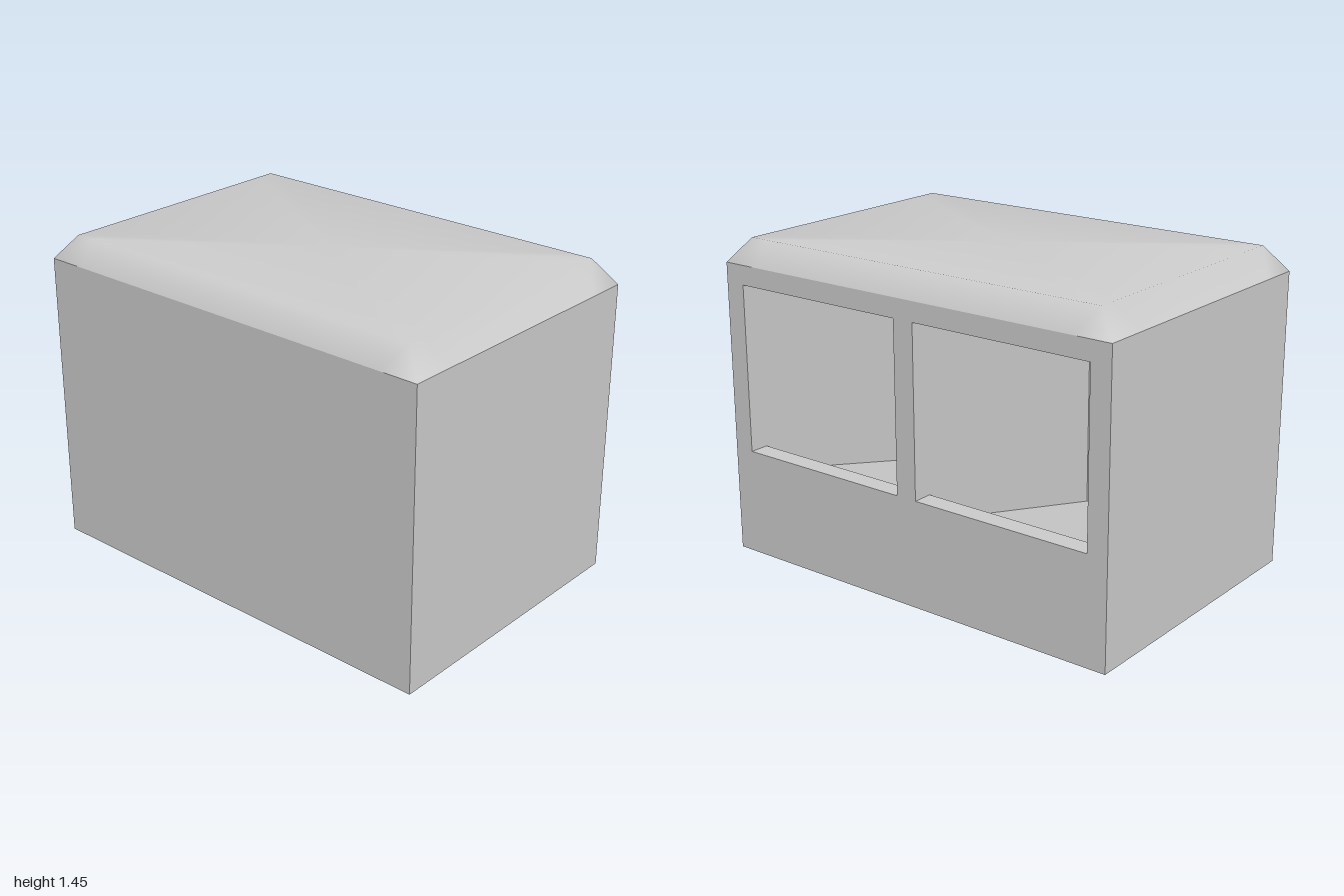
import * as THREE from 'three';

const W = 1, D = 0.667, H = 1.335;           // half width, half depth, wall height
const T = 0.095, DIVIDER = 0.05;             // wall thickness, half divider
const material = new THREE.MeshStandardMaterial({ color: 0xcccccc });

// Extrudes a side profile ([-z, y] points) across the width from x0 to x1
function slab(name, points, x0, x1) {
  const shape = new THREE.Shape(points.map(([a, b]) => new THREE.Vector2(a, b)));
  const geometry = new THREE.ExtrudeGeometry(shape, { depth: x1 - x0, bevelEnabled: false });
  geometry.rotateY(Math.PI / 2).translate(x0, 0, 0);
  const mesh = new THREE.Mesh(geometry, material);
  mesh.name = name;
  return mesh;
}

// Ring of 12 points: each corner has a neighbour on either side to keep shading local
function ring(w, d, y, near) {
  const points = [];
  for (const [sx, sz] of [[1, 1], [1, -1], [-1, -1], [-1, 1]]) {
    const alongX = [sx * (w - near), y, sz * d];
    const corner = [sx * w, y, sz * d];
    const alongZ = [sx * w, y, sz * (d - near)];
    points.push(...(sx * sz > 0 ? [alongX, corner, alongZ] : [alongZ, corner, alongX]));
  }
  return points;
}

// Softly shaded lid with sloping sides
function createLid() {
  const top = 1.445, n = 12;
  const points = [...ring(W, D, H, 0.18), ...ring(0.905, 0.6, top, 0.085), [0, top, 0]];
  const index = [];
  for (let i = 0; i < n; i++) {
    const j = (i + 1) % n;
    index.push(i, j, n + j, i, n + j, n + i);
    index.push(n + i, n + j, 2 * n);
  }
  const geometry = new THREE.BufferGeometry();
  geometry.setAttribute('position', new THREE.Float32BufferAttribute(points.flat(), 3));
  geometry.setIndex(index);
  geometry.computeVertexNormals();
  const mesh = new THREE.Mesh(geometry, material);
  mesh.name = 'lid';
  return mesh;
}

export function createModel() {
  const group = new THREE.Group();
  group.name = 'twoBayBox';

  // Solid walls at both ends and between the bays
  const wall = [[-D, 0], [D, 0], [D, H], [-D, H]];
  group.add(slab('rightWall', wall, -W, -W + T));
  group.add(slab('divider', wall, -DIVIDER, DIVIDER));
  group.add(slab('leftWall', wall, W - T, W));

  // Bays open to the back, with a raised sill and a floor sloping down to the front
  const inner = D - 0.09;
  const bay = [
    [-D, 0], [D, 0], [D, 0.485], [inner, 0.485], [inner, 0.37],
    [-inner, 0.08], [-inner, 1.247], [D, 1.247], [D, H], [-D, H],
  ];
  group.add(slab('rightBay', bay, -W + T, -DIVIDER));
  group.add(slab('leftBay', bay, DIVIDER, W - T));

  group.add(createLid());
  return group;
}
